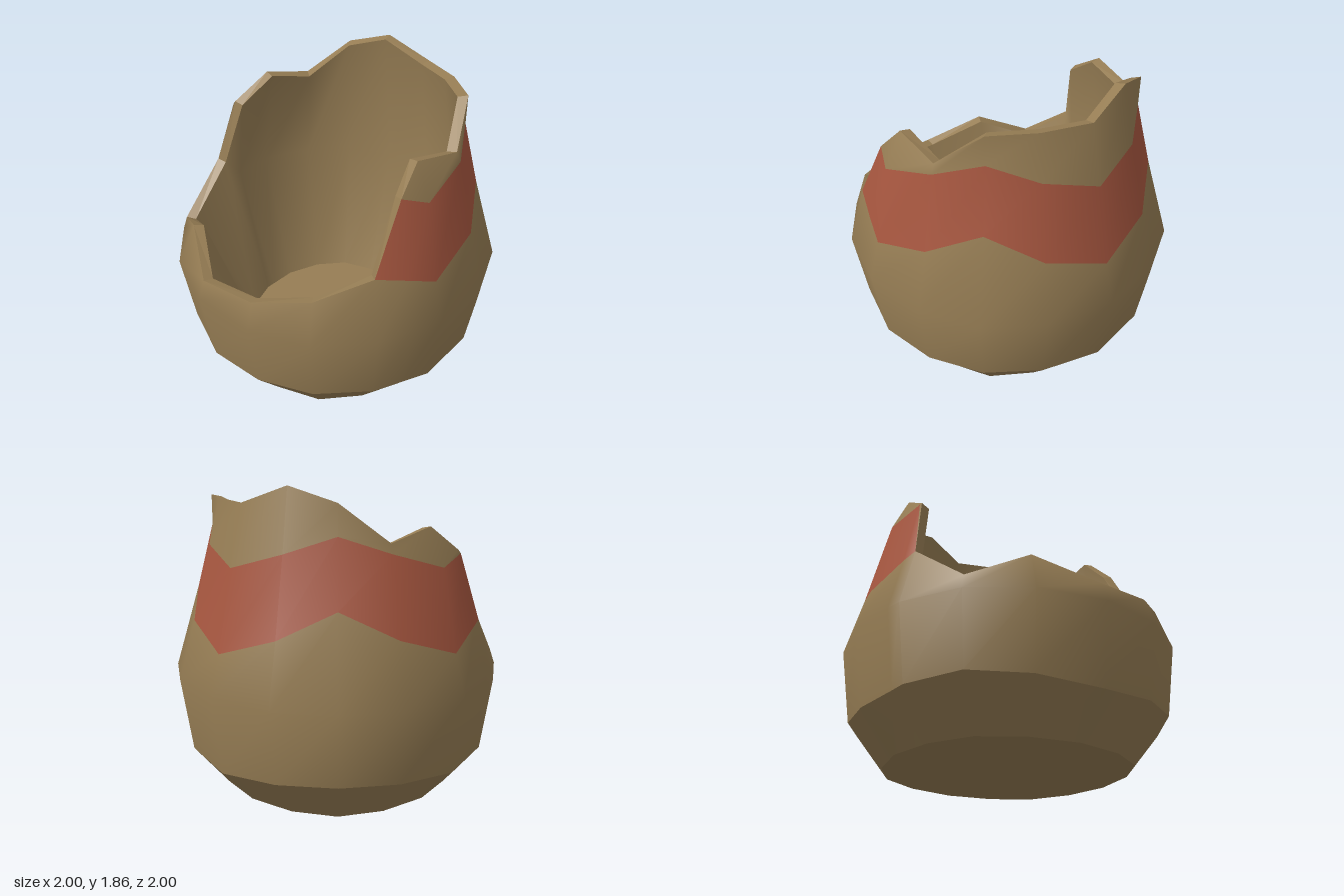
import * as THREE from 'three';
import { mergeVertices } from 'three/addons/utils/BufferGeometryUtils.js';

// One entry per column: angle (0 = front, 90 = +x), band bottom, band top, rim height, rim radius, chord factor
const COLUMNS = [
  [0, 0.94, 1.41, 1.615, 0.72],
  [23.6, 1.06, 1.505, 1.56, 0.772],
  [45, 1.22, 1.6, 1.775, 0.764],
  [66.4, 1.06, 1.505, 1.77, 0.735],
  [90, 0.94, 1.41, 1.76, 0.745],
  [113.6, 1.06, 1.505, 1.86, 0.725],
  [135, 1.22, 1.6, 1.775, 0.764],
  [156.4, 1.06, 1.505, 1.56, 0.775],
  [180, 0.94, 1.41, 1.63, 0.73],
  [197.8, 1.035, 1.46, 1.48, 0.787, 0.987],
  [203.6, 1.06, 1.06, 1.06, 0.903],
  [225, 0.79, 0.79, 0.79, 0.99],
  [246.4, 0.96, 0.96, 0.96, 0.89],
  [270, 0.82, 0.82, 0.82, 0.96],
  [293.6, 0.865, 0.865, 0.865, 0.95],
  [315, 0.945, 0.945, 0.945, 0.935],
  [336.4, 1.06, 1.06, 1.06, 0.9],
  [349, 1.0, 1.46, 1.46, 0.785, 0.981],
].map(([deg, low, top, rim, rimR, k = 1]) => ({ a: THREE.MathUtils.degToRad(deg), low, top, rim, rimR, k }));

// Outer radius of the pot at a given height
const PROFILE = [[0, 0.72], [0.23, 0.93], [0.7, 1], [0.94, 0.93], [1.06, 0.905], [1.22, 0.863], [1.41, 0.83], [1.5, 0.8], [1.6, 0.764], [2, 0.72]];
function radiusAt(y) {
  const i = PROFILE.findIndex((p) => p[0] >= y);
  const [y0, r0] = PROFILE[i - 1], [y1, r1] = PROFILE[i];
  return r0 + (r1 - r0) * (y - y0) / (y1 - y0);
}

// Rows: functions from a column to [radius, height]; the body swells a little on the diagonals
const WALL = 0.06;
const diagonal = (c) => Math.sin(2 * c.a) ** 4;
const ring = (r, y, swell = 0.035) => (c) => [r * c.k * (1 + swell * diagonal(c)), y];
const onRim = (c) => [c.rimR, c.rim];
const onInnerRim = (c) => [c.rimR - WALL, c.rim - 0.012];
const onBand = (key) => (c) => (c[key] === c.rim ? onRim(c) : [radiusAt(c[key]) * c.k, c[key]]);
const innerBelly = (c) => (c.low === c.rim ? onInnerRim(c) : [0.8 * c.k, 0.95]);
const crease = (c) => [0.932 * c.k * (1 + 0.03 * diagonal(c)), 0.23 + 0.045 * Math.abs(Math.sin(2 * c.a)) ** 1.5];

// Skin a closed surface through rows, with one material slot per strip
function skin(rows, slots = []) {
  const n = COLUMNS.length, pos = [], index = [];
  const geo = new THREE.BufferGeometry();
  for (const row of rows) {
    for (const c of COLUMNS) {
      const [r, y] = row(c);
      pos.push(r * Math.sin(c.a), y, r * Math.cos(c.a));
    }
  }
  for (let j = 0; j < rows.length - 1; j++) {
    const start = index.length;
    for (let i = 0; i < n; i++) {
      const k = (i + 1) % n, a = j * n + i, b = j * n + k;
      index.push(a, b, b + n, a, b + n, a + n);
    }
    geo.addGroup(start, index.length - start, slots[j] ?? 0);
  }
  geo.setAttribute('position', new THREE.Float32BufferAttribute(pos, 3));
  geo.setIndex(index);
  return geo;
}

const smooth = (geo) => {
  const g = mergeVertices(geo);
  g.computeVertexNormals();
  return g;
};
const flat = (geo) => {
  const g = geo.toNonIndexed();
  g.computeVertexNormals();
  return g;
};

export function createModel() {
  const clay = new THREE.MeshStandardMaterial({ color: 0x967d54 });
  clay.name = 'clay';
  const red = new THREE.MeshStandardMaterial({ color: 0xa6563f });
  red.name = 'redPaint';
  const materials = [clay, red];

  const model = new THREE.Group();
  model.name = 'brokenPot';
  const add = (name, geo) => {
    const mesh = new THREE.Mesh(geo, materials);
    mesh.name = name;
    model.add(mesh);
  };

  // Underside and bevelled foot
  add('base', flat(skin([ring(0, 0), ring(0.72, 0)])));
  add('foot', smooth(skin([ring(0.72, 0), crease])));

  // Rounded outside with the zigzag painted band
  add('outerWall', smooth(skin(
    [crease, ring(1, 0.7, 0.02), onBand('low'), onBand('top'), onRim],
    [0, 0, 1, 0],
  )));

  // Broken edge, hollow inside and floor
  add('brokenRim', flat(skin([onRim, onInnerRim])));
  add('innerWall', smooth(skin([onInnerRim, innerBelly, ring(0.55, 0.08)])));
  add('innerFloor', flat(skin([ring(0.55, 0.08), ring(0, 0.08)])));

  return model;
}
